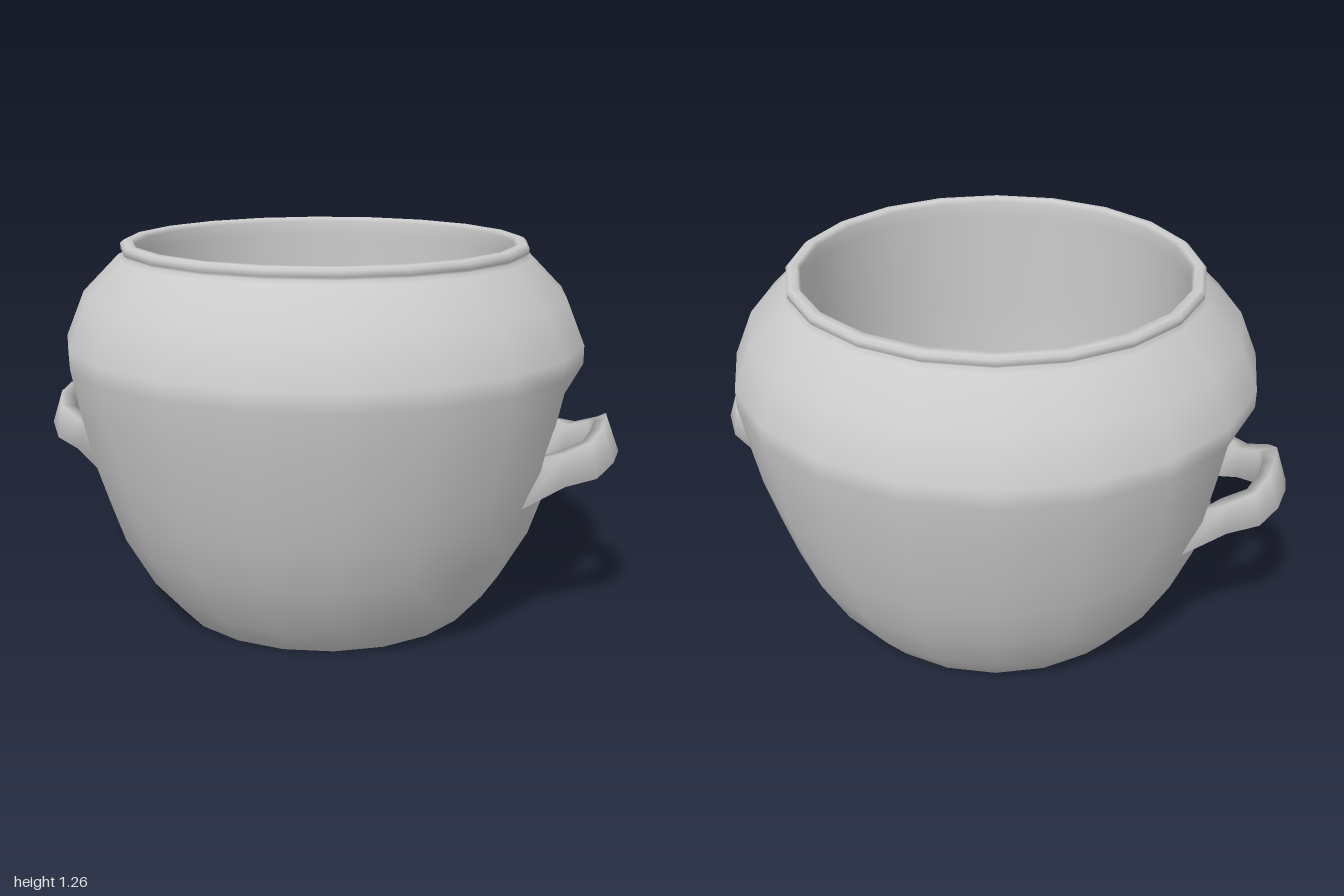
import * as THREE from 'three';
import { mergeVertices } from 'three/addons/utils/BufferGeometryUtils.js';

const SIDES = 20;

// Hollow pot wall: base, outer profile up, over the rim, then a steep inner bowl
function potGeometry() {
  const profile = [
    [0, 0], [0.43, 0], [0.525, 0], [0.62, 0.11], [0.715, 0.28], [0.765, 0.43], [0.812, 0.58],
    [0.848, 0.75], [0.872, 0.88], [0.872, 0.94], [0.81, 1.09], [0.69, 1.212],
    [0.67, 1.222], [0.682, 1.232], [0.682, 1.25], [0.67, 1.26], [0.645, 1.26], [0.636, 1.245],
    [0.636, 1.2], [0.636, 0.85], [0.63, 0.5], [0.595, 0.28], [0.52, 0.12], [0.4, 0.045],
    [0.33, 0.04], [0, 0.04],
  ].map(([r, y]) => new THREE.Vector2(r, y));
  let geo = new THREE.LatheGeometry(profile, SIDES);

  // Hollow in the outer wall behind each handle
  const pos = geo.attributes.position;
  for (let i = 0; i < pos.count; i++) {
    const x = pos.getX(i), y = pos.getY(i), z = pos.getZ(i);
    const outer = Math.hypot(x, z) > 0.79;
    if (outer && Math.abs(z) < 0.05 && y > 0.5 && y < 0.8) {
      pos.setX(i, x - Math.sign(x) * (y < 0.65 ? 0.065 : 0.045));
    }
  }
  geo.deleteAttribute('uv');
  geo.deleteAttribute('normal');
  geo = mergeVertices(geo, 1e-4);
  geo.computeVertexNormals();
  return geo;
}

// Arched strap handle lofted through four-cornered sections: centre, half height, half thickness
function handleGeometry() {
  const half = [
    [[0.958, 0.64, 0], [-0.022, 0.057, 0], [0.02, 0.01, 0]],
    [[0.95, 0.628, 0.085], [-0.02, 0.058, 0], [0.02, 0.009, 0.008]],
    [[0.915, 0.595, 0.14], [-0.012, 0.062, 0.004], [0.016, 0.006, 0.018]],
    [[0.832, 0.572, 0.182], [-0.002, 0.056, 0], [0.012, 0.002, 0.02]],
    [[0.75, 0.54, 0.246], [0.03, 0.085, -0.01], [0, 0, 0.016]],
  ];
  const flip = (s) => s.map(([x, y, z]) => [x, y, -z]);
  const sections = [...half.slice(1).reverse().map(flip), ...half];
  const corners = [[1, 1], [-1, 1], [-1, -1], [1, -1]];
  const N = corners.length;
  const points = [], index = [];
  sections.forEach(([c, u, w], i) => {
    corners.forEach(([p, q], j) => {
      for (let k = 0; k < 3; k++) points.push(c[k] + u[k] * p + w[k] * q);
      if (i < sections.length - 1) {
        const a = i * N + j, d = i * N + ((j + 1) % N);
        index.push(a, a + N, d + N, a, d + N, d);
      }
    });
  });
  const geo = new THREE.BufferGeometry();
  geo.setAttribute('position', new THREE.Float32BufferAttribute(points, 3));
  geo.setIndex(index);
  geo.computeVertexNormals();
  return geo;
}

export function createModel() {
  const group = new THREE.Group();
  group.name = 'cookingPot';
  const material = new THREE.MeshStandardMaterial({ color: 0xcccccc, side: THREE.DoubleSide });

  const pot = new THREE.Mesh(potGeometry(), material);
  pot.name = 'potBody';
  group.add(pot);

  // One handle on each side
  const geo = handleGeometry();
  ['leftHandle', 'rightHandle'].forEach((name, i) => {
    const handle = new THREE.Mesh(geo, material);
    handle.name = name;
    handle.rotation.y = i * Math.PI;
    group.add(handle);
  });
  return group;
}
